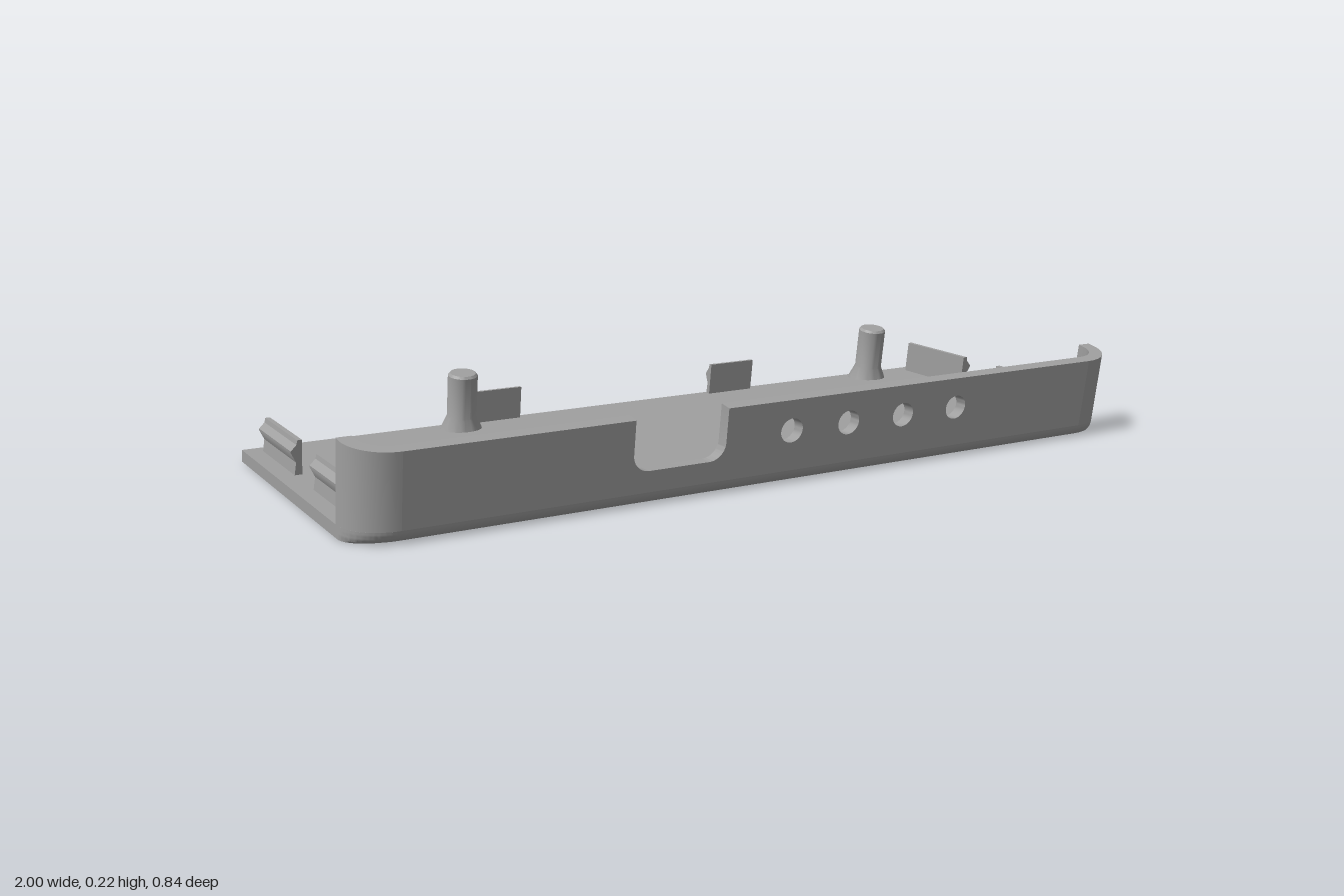
import * as THREE from 'three';
import { toCreasedNormals } from 'three/addons/utils/BufferGeometryUtils.js';

const LEAN = 0.15;   // forward lean of everything, z per unit of height
const FLOOR = 0.03;  // thickness of the base plate
const FRONT = 0.39, BACK = -0.42, R = 0.1, WALL = 0.033;

export function createModel() {
  const group = new THREE.Group();
  const grey = new THREE.MeshStandardMaterial({ color: 0xa0a0a0 });
  grey.name = 'grey plastic';

  const add = (name, geometry) => {
    const mesh = new THREE.Mesh(toCreasedNormals(geometry, 0.5), grey);
    mesh.name = name;
    group.add(mesh);
    return mesh;
  };

  // Leans a part forward, after an optional rule has moved each corner
  const lean = (geometry, rule = () => {}) => {
    const p = geometry.attributes.position;
    const v = new THREE.Vector3();
    for (let i = 0; i < p.count; i++) {
      v.fromBufferAttribute(p, i);
      rule(v);
      p.setXYZ(i, v.x, v.y, v.z + LEAN * v.y);
    }
    return geometry;
  };

  const extrude = (shape, depth, steps = 1) =>
    new THREE.ExtrudeGeometry(shape, { depth, steps, bevelEnabled: false, curveSegments: 14 });
  const polygon = (pts) => new THREE.Shape(pts.map(([x, y]) => new THREE.Vector2(x, y)));

  // The wall top is square to the leaning wall, so it climbs towards the back
  const slopeTop = (v) => { if (v.y > 0.19) v.y = 0.2 + LEAN * (FRONT - v.z); };

  // Base plate with rounded front corners and a rounded lower front edge
  const plate = new THREE.Shape();
  plate.moveTo(-1, -BACK);
  plate.lineTo(-1, -FRONT + R);
  plate.absarc(-1 + R, -FRONT + R, R, Math.PI, Math.PI * 1.5);
  plate.absarc(1 - R, -FRONT + R, R, Math.PI * 1.5, Math.PI * 2);
  plate.lineTo(1, -BACK);
  add('basePlate', lean(extrude(plate, FLOOR, 6).rotateX(-Math.PI / 2), (v) => {
    const near = Math.max(0, (v.z - FRONT + R) / R);
    const up = FLOOR - v.y;
    v.z -= near * (FLOOR - Math.sqrt(Math.max(0, FLOOR * FLOOR - up * up)));
  }));

  // Front wall with a notch in the top edge and four round holes
  const wall = new THREE.Shape();
  const nl = -0.38, nr = -0.15, nb = 0.08, nc = 0.04;
  wall.moveTo(-1 + R, FLOOR);
  wall.lineTo(1 - R, FLOOR);
  wall.lineTo(1 - R, 0.2);
  wall.lineTo(nr, 0.2);
  wall.lineTo(nr, nb + nc);
  wall.absarc(nr - nc, nb + nc, nc, 0, -Math.PI / 2, true);
  wall.absarc(nl + nc, nb + nc, nc, -Math.PI / 2, -Math.PI, true);
  wall.lineTo(nl, 0.2);
  wall.lineTo(-1 + R, 0.2);
  for (const x of [0.022, 0.178, 0.333, 0.489]) {
    wall.holes.push(new THREE.Path().absarc(x, 0.127, 0.029, 0, Math.PI * 2, true));
  }
  add('frontWall', lean(extrude(wall, WALL).translate(0, 0, FRONT - WALL), slopeTop));

  for (const side of [-1, 1]) {
    const name = side > 0 ? 'left' : 'right';

    // Curved wall corner with a short return along the side
    const corner = new THREE.Shape();
    const pts = [[1, -0.278]];
    const arc = (r, t) => pts.push([1 - R + r * Math.cos(t), -FRONT + R - r * Math.sin(t)]);
    for (let i = 0; i <= 12; i++) arc(R, (i / 12) * Math.PI / 2);
    for (let i = 12; i >= 0; i--) arc(R - WALL, (i / 12) * Math.PI / 2);
    pts.push([1 - WALL, -0.278]);
    corner.setFromPoints(pts.map(([x, y]) => new THREE.Vector2(x * side, y)));
    add(name + 'WallCorner', lean(
      extrude(corner, 0.2 - FLOOR).rotateX(-Math.PI / 2).translate(0, FLOOR, 0), slopeTop));

    // Two ridged snap rails along the side
    const rail = polygon([[0.942, 0.025], [0.96, 0.025], [0.956, 0.06], [0.968, 0.084],
      [0.968, 0.088], [0.955, 0.102], [0.953, 0.113], [0.942, 0.113]].map(([x, y]) => [x * side, y]));
    for (const z of [0.006, -0.384]) {
      add(name + (z > 0 ? 'FrontRail' : 'BackRail'), lean(extrude(rail, 0.252).translate(0, 0, z)));
    }
  }

  // Snap clips on the back edge
  const clip = polygon([[0.397, 0.025], [0.412, 0.025], [0.41, 0.06], [0.421, 0.08],
    [0.421, 0.087], [0.409, 0.102], [0.407, 0.113], [0.397, 0.113]]);
  for (const x of [-0.42, 0.28]) {
    add('backClip', lean(extrude(clip, 0.133).rotateY(Math.PI / 2).translate(x, 0, 0)));
  }

  // Pegs with flared feet: tall at the back, short at the front
  const peg = (name, x, z, height) => {
    const profile = [[0.053, 0], [0.051, 0.008], [0.037, 0.04], [0.037, height - 0.006],
      [0.032, height], [0, height]].map(([r, y]) => new THREE.Vector2(r, y));
    const mesh = add(name, new THREE.LatheGeometry(profile, 32));
    mesh.position.set(x, FLOOR - 0.005, z);
    mesh.rotation.x = Math.atan(LEAN);
  };
  for (const x of [-0.463, 0.788]) {
    peg('backPeg', x, -0.36, 0.153);
    peg('frontPeg', x, 0.247, 0.057);
  }
  return group;
}
